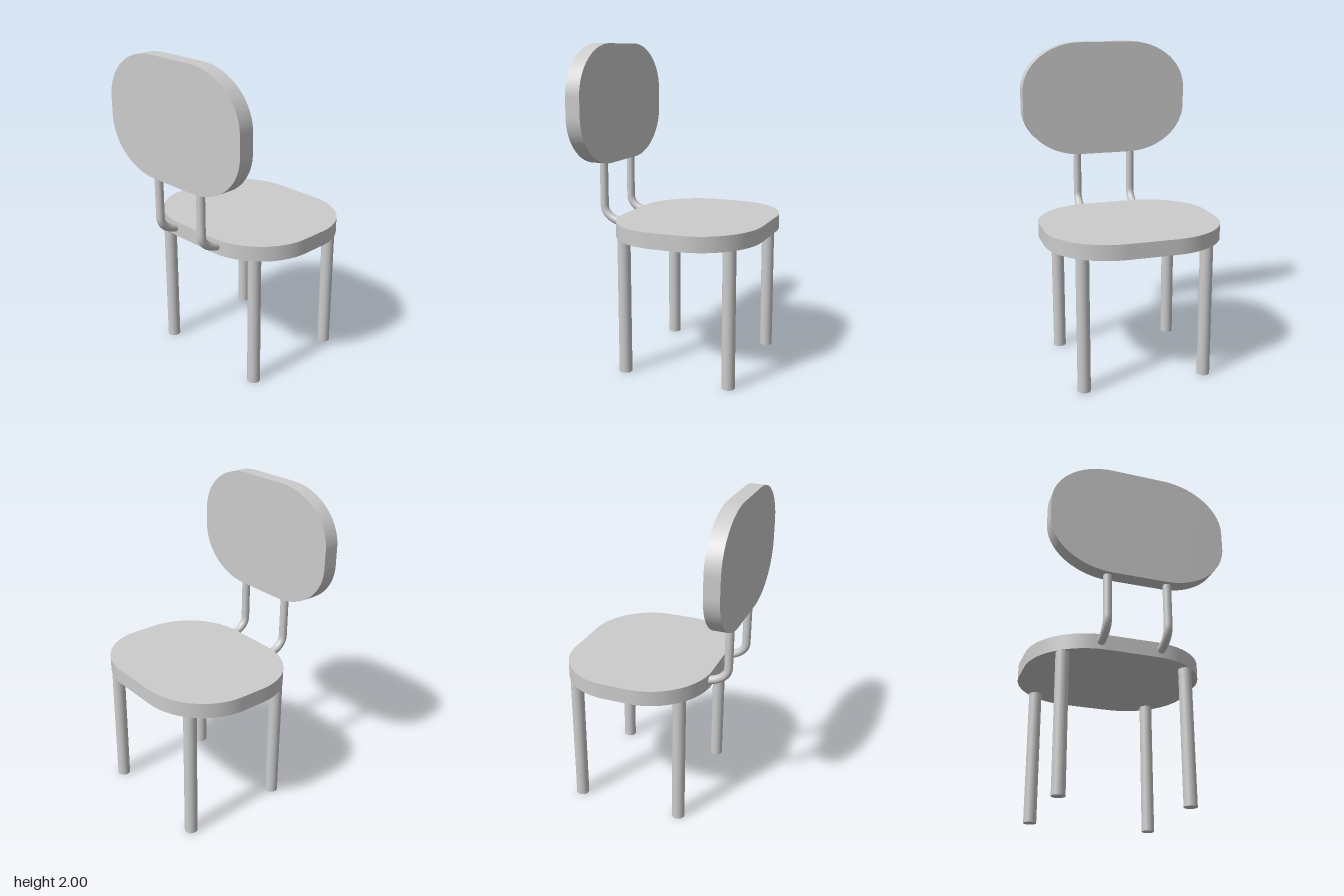
import * as THREE from 'three';
import { toCreasedNormals } from 'three/addons/utils/BufferGeometryUtils.js';

const material = new THREE.MeshStandardMaterial({ color: 0xcccccc });

function addMesh(parent, name, geometry) {
  const mesh = new THREE.Mesh(geometry, material);
  mesh.name = name;
  parent.add(mesh);
  return mesh;
}

// Flat panel centred on the origin in XY, with elliptical corners of size rx by ry
function panelGeometry(width, height, depth, rx, ry) {
  const a = width / 2 - rx, b = height / 2 - ry;
  const shape = new THREE.Shape();
  shape.absellipse(a, b, rx, ry, 0, Math.PI / 2);
  shape.absellipse(-a, b, rx, ry, Math.PI / 2, Math.PI);
  shape.absellipse(-a, -b, rx, ry, Math.PI, Math.PI * 1.5);
  shape.absellipse(a, -b, rx, ry, Math.PI * 1.5, Math.PI * 2);
  shape.closePath();
  const geometry = new THREE.ExtrudeGeometry(shape, { depth, bevelEnabled: false, curveSegments: 24 });
  geometry.translate(0, 0, -depth / 2);
  return toCreasedNormals(geometry, 0.6);
}

export function createModel() {
  const chair = new THREE.Group();
  chair.name = 'chair';

  // Seat cushion
  const seat = addMesh(chair, 'seat', panelGeometry(0.918, 1.1, 0.095, 0.38, 0.4).rotateX(-Math.PI / 2));
  seat.position.set(0.079, 0.8925, 0);

  // Upright backrest, facing +x
  const backrest = addMesh(chair, 'backrest', panelGeometry(1.1, 0.733, 0.094, 0.385, 0.31).rotateY(Math.PI / 2));
  backrest.position.set(-0.491, 1.6335, 0);

  // Bent tube from the backrest down into the back edge of the seat
  const bend = new THREE.CurvePath();
  const top = new THREE.Vector3(-0.492, 1.35, 0);
  const bendStart = new THREE.Vector3(-0.492, 1.0, 0);
  const bendEnd = new THREE.Vector3(-0.36, 0.895, 0);
  bend.add(new THREE.LineCurve3(top, bendStart));
  bend.add(new THREE.CubicBezierCurve3(
    bendStart, new THREE.Vector3(-0.492, 0.945, 0), new THREE.Vector3(-0.44, 0.905, 0), bendEnd));
  bend.add(new THREE.LineCurve3(bendEnd, new THREE.Vector3(-0.3, 0.89, 0)));
  const tube = new THREE.TubeGeometry(bend, 64, 0.026, 20);

  const leg = new THREE.CylinderGeometry(0.04, 0.04, 0.86, 32);

  // Mirrored supports and legs
  for (const side of [1, -1]) {
    const label = side > 0 ? 'Left' : 'Right';
    addMesh(chair, `backSupport${label}`, tube).position.z = side * 0.186;
    addMesh(chair, `rearLeg${label}`, leg).position.set(-0.258, 0.43, side * 0.385);
    addMesh(chair, `frontLeg${label}`, leg).position.set(0.416, 0.43, side * 0.385);
  }
  return chair;
}
